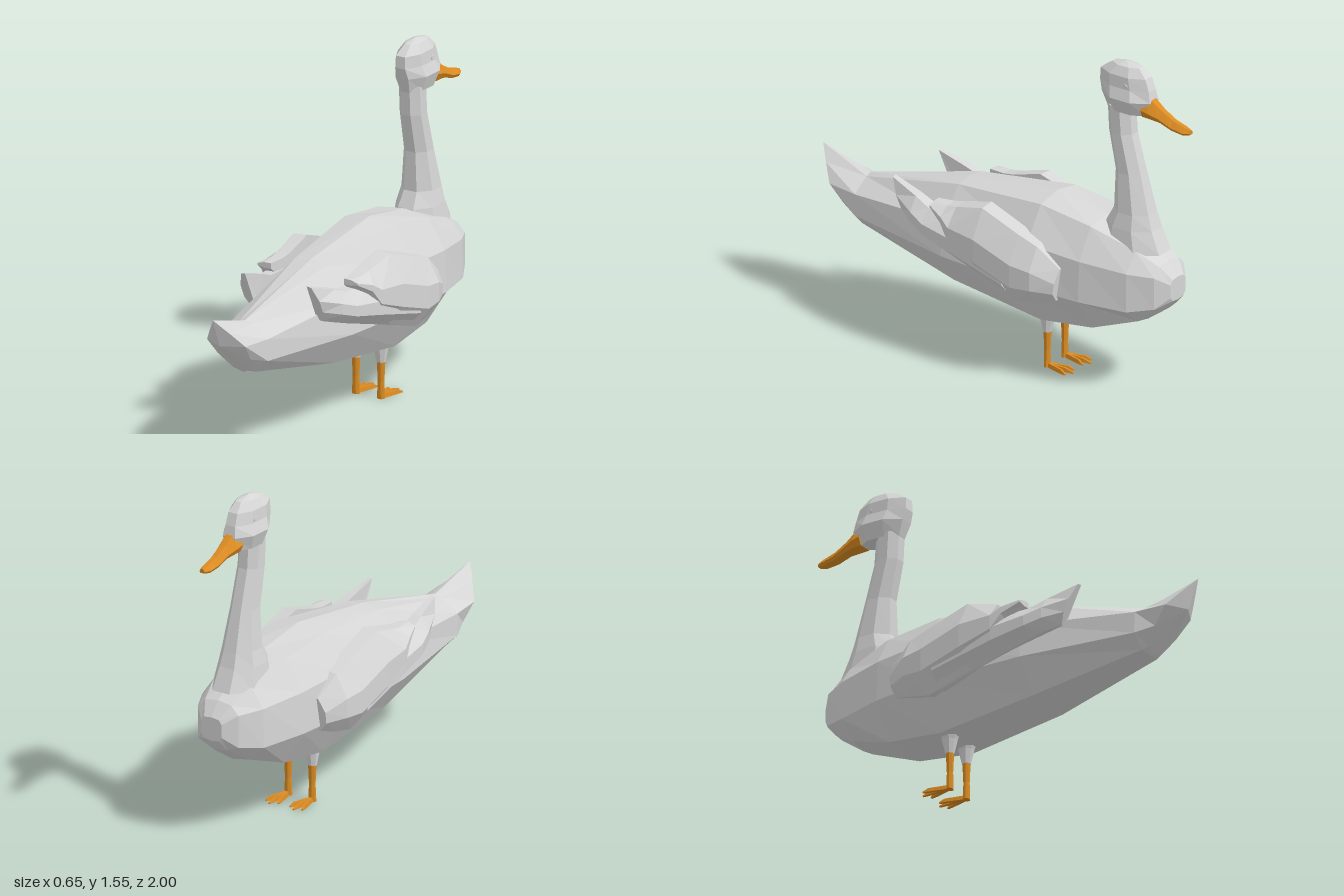
import * as THREE from 'three';

const V = (x, y, z) => new THREE.Vector3(x, y, z);

// Skin of flat facets through closed rings of points, with a fan at each end.
// The end points default to the ring centres.
function loft(rings, startTip, endTip) {
  const tris = [];
  const n = rings[0].length;
  const centre = (r) => r.reduce((a, p) => a.add(p), V(0, 0, 0)).divideScalar(n);
  const first = rings[0], last = rings[rings.length - 1];
  const a = startTip || centre(first), b = endTip || centre(last);
  for (let j = 0; j < n; j++) {
    const k = (j + 1) % n;
    tris.push([a, first[k], first[j]], [b, last[j], last[k]]);
    for (let i = 0; i < rings.length - 1; i++) {
      const p = rings[i], q = rings[i + 1];
      tris.push([p[j], p[k], q[k]], [p[j], q[k], q[j]]);
    }
  }
  // Turn the corners round if the skin came out inside-out
  let volume = 0;
  const c = V(0, 0, 0);
  for (const t of tris) volume += t[0].dot(c.crossVectors(t[1], t[2]));
  if (volume < 0) tris.forEach((t) => t.reverse());
  const geo = new THREE.BufferGeometry().setFromPoints(tris.flat());
  geo.computeVertexNormals();
  return geo;
}

// Eight-sided level ring between a front and a back z
function levelRing([y, zFront, zBack, half]) {
  const c = (zFront + zBack) / 2, r = (zBack - zFront) / 2;
  const ring = [];
  for (let i = 0; i < 8; i++) {
    const t = ((i + 0.5) / 8) * Math.PI * 2;
    const k = 1 / Math.cos(Math.PI / 8);
    ring.push(V(Math.cos(t) * half * k, y, c + Math.sin(t) * r * k));
  }
  return ring;
}

// Wing ring: bevelled outer side, flat inner side; lean tilts it along z
function wingRing(side, [z, top, bottom, inner, outer, lean = 0]) {
  const h = top - bottom, w = outer - inner;
  return [
    [inner, top], [inner + w * 0.5, top - h * 0.02], [outer, top - h * 0.4],
    [outer, bottom + h * 0.28], [inner + w * 0.5, bottom], [inner, bottom + h * 0.05],
  ].map(([x, y]) => V(side * x, y, z + lean * (y - bottom)));
}

export function createModel() {
  const model = new THREE.Group();
  const plumage = new THREE.MeshStandardMaterial({ color: 0xd6d6d6 });
  plumage.name = 'plumage grey';
  const orange = new THREE.MeshStandardMaterial({ color: 0xdc8c22 });
  orange.name = 'bill orange';

  function add(name, geo, material, parent = model) {
    const mesh = new THREE.Mesh(geo, material);
    mesh.name = name;
    parent.add(mesh);
    return mesh;
  }

  // Body from tail to breast: z, top, then y and x of shoulder, flank,
  // lower flank and belly, then bottom
  const bodyRings = [
    [0.89, 0.715, 0.65, 0.05, 0.58, 0.10, 0.50, 0.085, 0.43, 0.045, 0.405],
    [0.74, 0.642, 0.63, 0.03, 0.575, 0.118, 0.475, 0.12, 0.415, 0.06, 0.41],
    [0.2, 0.77, 0.757, 0.085, 0.62, 0.2, 0.46, 0.22, 0.31, 0.12, 0.29],
    [-0.28, 0.83, 0.805, 0.13, 0.65, 0.235, 0.45, 0.25, 0.25, 0.13, 0.24],
    [-0.55, 0.785, 0.77, 0.13, 0.63, 0.215, 0.44, 0.225, 0.28, 0.12, 0.27],
    [-0.77, 0.72, 0.70, 0.10, 0.61, 0.165, 0.43, 0.17, 0.355, 0.08, 0.34],
    [-0.88, 0.65, 0.64, 0.07, 0.60, 0.11, 0.45, 0.11, 0.425, 0.05, 0.42],
    [-0.93, 0.585, 0.58, 0.04, 0.56, 0.055, 0.50, 0.055, 0.48, 0.04, 0.475],
  ].map(([z, top, sy, sx, uy, ux, ly, lx, by, bx, bottom], i) => {
    const half = [[sx, sy], [ux, uy], [lx, ly], [bx, by]];
    const outline = [[0, top], ...half, [0, bottom], ...half.map(([x, y]) => [-x, y]).reverse()];
    const lean = i === 0 ? 0.8 : 0; // the tail end slopes up and back
    return outline.map(([x, y]) => V(x, y, z + lean * (y - 0.58)));
  });
  add('body', loft(bodyRings, V(0, 0.58, 0.945)), plumage);

  // Neck rising out of the breast
  add('neck', loft([
    [0.68, -0.86, -0.54, 0.11], [0.78, -0.815, -0.57, 0.095], [0.85, -0.793, -0.607, 0.08],
    [1.03, -0.745, -0.61, 0.06], [1.21, -0.695, -0.572, 0.055], [1.34, -0.685, -0.565, 0.055],
  ].map(levelRing)), plumage);

  // Head
  add('head', loft([
    [1.32, -0.77, -0.565, 0.055], [1.39, -0.80, -0.54, 0.08], [1.44, -0.79, -0.525, 0.062],
    [1.495, -0.77, -0.528, 0.058], [1.535, -0.73, -0.585, 0.035],
  ].map(levelRing), null, V(0, 1.55, -0.65)), plumage);

  // Eyes: small thin plates on the sides of the head
  for (const side of [1, -1]) {
    const eye = add(side > 0 ? 'leftEye' : 'rightEye',
      new THREE.CylinderGeometry(0.01, 0.01, 0.006, 6).toNonIndexed(), plumage);
    eye.geometry.computeVertexNormals();
    eye.rotation.z = Math.PI / 2;
    eye.position.set(side * 0.062, 1.455, -0.69);
  }

  // Bill: z, top, bottom, half width
  add('bill', loft([
    [-0.76, 1.42, 1.32, 0.05], [-0.80, 1.40, 1.318, 0.048], [-0.85, 1.365, 1.31, 0.036],
    [-0.91, 1.332, 1.288, 0.032], [-0.97, 1.314, 1.28, 0.028], [-1.0, 1.305, 1.285, 0.014],
  ].map(([z, top, bottom, w]) => {
    const mid = bottom + (top - bottom) * 0.35;
    return [V(w * 0.35, top, z), V(w, mid, z), V(w * 0.7, bottom, z),
      V(-w * 0.7, bottom, z), V(-w, mid, z), V(-w * 0.35, top, z)];
  })), orange);

  for (const side of [1, -1]) {
    const label = side > 0 ? 'left' : 'right';

    // Wing: rounded cover over longer flight feathers with an upturned tip
    const wing = new THREE.Group();
    wing.name = label + 'Wing';
    model.add(wing);
    add('wingCover', loft([
      [-0.44, 0.58, 0.42, 0.20, 0.27, -0.12], [-0.35, 0.67, 0.395, 0.195, 0.315],
      [-0.25, 0.705, 0.375, 0.19, 0.325], [-0.05, 0.775, 0.44, 0.18, 0.322],
      [0.1, 0.735, 0.53, 0.175, 0.305], [0.15, 0.725, 0.63, 0.18, 0.29],
      [0.23, 0.722, 0.695, 0.19, 0.26],
    ].map((r) => wingRing(side, r))), plumage, wing);
    add('flightFeathers', loft([
      [-0.2, 0.64, 0.39, 0.18, 0.315], [0.1, 0.675, 0.482, 0.175, 0.298],
      [0.26, 0.68, 0.53, 0.17, 0.28], [0.34, 0.71, 0.555, 0.165, 0.255],
      [0.4, 0.755, 0.573, 0.16, 0.205, 0.48],
    ].map((r) => wingRing(side, r))), plumage, wing);

    // Leg: feathered thigh, shank and three spread toes
    const leg = new THREE.Group();
    leg.name = label + 'Leg';
    leg.position.set(side * 0.065, 0, -0.268);
    model.add(leg);
    add('thigh', loft([
      [0.27, -0.045, 0.045, 0.04], [0.235, -0.033, 0.033, 0.03], [0.17, -0.018, 0.018, 0.02],
    ].map(levelRing)), plumage, leg);
    add('shank', loft([
      [0.175, -0.017, 0.017, 0.018], [0.08, -0.013, 0.013, 0.014], [0, -0.014, 0.014, 0.018],
    ].map(levelRing)), orange, leg);
    for (const spread of [-1, 0, 1]) {
      const length = spread ? 0.125 : 0.142;
      const toe = add('toe', loft([[0.005, 0.009, 0.02], [-0.1, 0.008, 0.018], [-length, 0.005, 0.006]]
        .map(([z, w, h]) => [V(-w, 0, z), V(w, 0, z), V(w * 0.6, h, z), V(-w * 0.6, h, z)])), orange, leg);
      toe.rotation.y = -spread * 0.27;
    }
  }
  return model;
}
